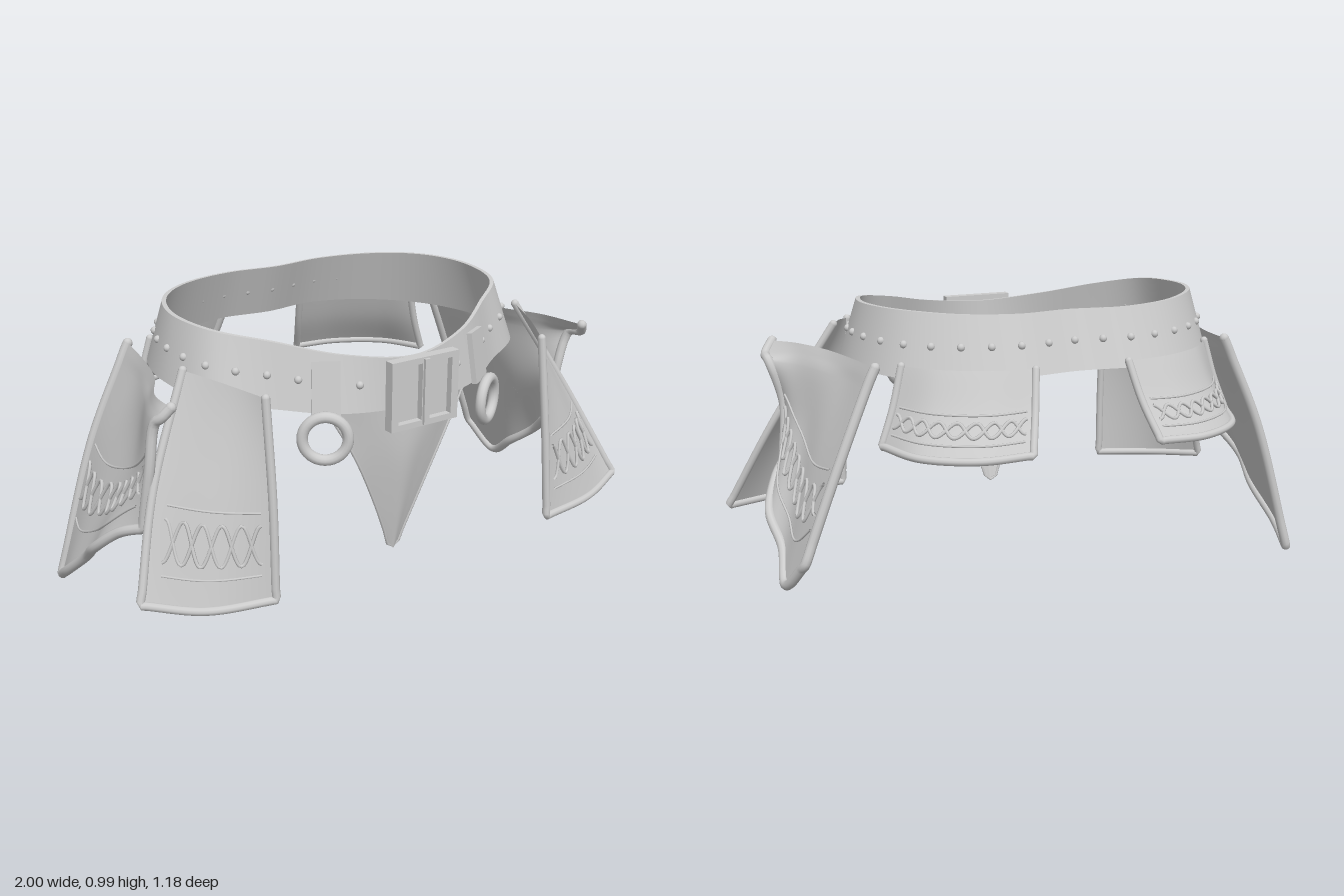
import * as THREE from 'three';
import { toCreasedNormals } from 'three/addons/utils/BufferGeometryUtils.js';

const CX = -0.04; // the belt's own centre line
const V = (p) => new THREE.Vector3(...p);
const spline = (pts, closed = false) => new THREE.CatmullRomCurve3(pts, closed);
const mirror = (rows) => rows.map((r) => r.map(([x, y, z]) => [2 * CX - x, y, z]));

// Smooth surface through rows of points; u runs along a row, v from first row to last
function surface(rows) {
  const curves = rows.map((r) => spline(r.map(V)));
  return (u, v) => spline(curves.map((c) => c.getPoint(u))).getPoint(v);
}

function gridGeometry(at, nu, nv) {
  const pos = [], idx = [];
  for (let j = 0; j <= nv; j++) {
    for (let i = 0; i <= nu; i++) {
      pos.push(...at(i / nu, j / nv).toArray());
      if (i < nu && j < nv) {
        const a = j * (nu + 1) + i, b = a + nu + 1;
        idx.push(a, b, a + 1, b, b + 1, a + 1);
      }
    }
  }
  const g = new THREE.BufferGeometry();
  g.setAttribute('position', new THREE.Float32BufferAttribute(pos, 3));
  g.setIndex(idx);
  g.computeVertexNormals();
  return g;
}

// Point lifted off the outer side of a surface
function lifted(at, u, v, d) {
  const p = at(u, v), e = 0.01;
  const n = at(u + e, v).sub(at(u - e, v)).cross(at(u, v + e).sub(at(u, v - e))).normalize();
  if (n.x * (p.x - CX) + n.z * p.z < 0) n.negate();
  return p.addScaledVector(n, d);
}

export function createModel() {
  const model = new THREE.Group();
  const grey = new THREE.MeshStandardMaterial({ color: 0xcccccc, side: THREE.DoubleSide });
  grey.name = 'grey';
  const add = (parent, name, geometry, pos) => {
    const m = new THREE.Mesh(geometry, grey);
    m.name = name;
    if (pos) m.position.set(...pos);
    parent.add(m);
    return m;
  };
  const tube = (parent, name, pts, r, sides = 8) =>
    add(parent, name, new THREE.TubeGeometry(spline(pts), pts.length * 2, r, sides));

  // Belt: front centre to back centre, [dx, y, z], mirrored into closed loops
  const bottom = [[0, .72, .52], [.26, .73, .482], [.44, .75, .375], [.61, .775, .27], [.66, .79, .08],
    [.635, .79, -.11], [.55, .79, -.27], [.39, .795, -.39], [.2, .8, -.44], [0, .8, -.42]];
  const top = [[0, .885, .515], [.24, .912, .45], [.42, .955, .335], [.56, .983, .22], [.605, .993, .04],
    [.575, .997, -.11], [.5, .997, -.225], [.37, .993, -.32], [.19, .99, -.365], [0, .99, -.345]];
  const middle = bottom.map((p, i) => p.map((c, k) => (c + top[i][k]) / 2));
  const loop = (half, f = 1) => {
    const back = half.slice(1, -1).reverse().map(([x, y, z]) => [-x, y, z]);
    return spline([...half, ...back].map(([x, y, z]) => new THREE.Vector3(CX + x * f, y, .05 + (z - .05) * f)), true);
  };
  const section = [loop(bottom), loop(top), loop(top, .975), loop(bottom, .975), loop(bottom)];
  const beltAt = (u, v) => section[Math.round(v * 4)].getPoint(u % 1);
  add(model, 'belt', toCreasedNormals(gridGeometry(beltAt, 140, 4), 0.7));

  // Rivets around the belt, leaving room for the buckle and strap loops
  const rivets = new THREE.Group();
  rivets.name = 'rivets';
  model.add(rivets);
  const rivet = new THREE.SphereGeometry(0.013, 10, 8);
  const count = 36;
  loop(middle).getSpacedPoints(count).slice(0, count).forEach((p, i) => {
    const k = Math.min(i, count - i);
    if (k !== 0 && k !== 1 && k !== 3) add(rivets, 'rivet', rivet, p.toArray());
  });

  // Buckle: frame with two windows and a centre prong
  const rect = (C, x, y, w, h) => new C([[x, y], [x + w, y], [x + w, y + h], [x, y + h]].map((p) => new THREE.Vector2(...p)));
  const frame = rect(THREE.Shape, -.175, .67, .26, .23);
  frame.holes.push(rect(THREE.Path, -.148, .69, .09, .19), rect(THREE.Path, -.032, .69, .09, .19));
  add(model, 'buckleFrame', new THREE.ExtrudeGeometry(frame, { depth: .035, bevelEnabled: false }), [0, 0, .545]);
  add(model, 'buckleBack', new THREE.BoxGeometry(.23, .2, .01), [-.045, .785, .552]);
  add(model, 'buckleProng', new THREE.BoxGeometry(.02, .22, .02), [-.045, .785, .58]);

  // Strap loops with hanging rings
  for (const s of [1, -1]) {
    const strap = add(model, 'strapLoop', new THREE.BoxGeometry(.09, .175, .018), [CX + s * .3, .815, .458]);
    strap.rotation.set(-.15, s * .5, 0, 'YXZ');
    const ring = add(model, 'ring', new THREE.TorusGeometry(.072, .018, 12, 36), [CX + s * .325, .665, .492]);
    ring.rotation.y = s * .56;
  }

  // Pointed centre flap, its tip leaning inward
  const point = surface([
    [[-.335, .75, .435], [-.2, .74, .49], [-.045, .73, .505], [.11, .74, .49], [.245, .75, .435]],
    [[-.23, .56, .455], [-.14, .55, .48], [-.05, .545, .497], [.04, .55, .48], [.13, .56, .455]],
    [[-.14, .365, .445], [-.095, .36, .457], [-.05, .355, .467], [-.005, .36, .457], [.04, .365, .445]],
    [[-.065, .18, .425], [-.057, .175, .428], [-.05, .17, .43], [-.043, .175, .428], [-.035, .18, .425]],
  ]);
  add(model, 'centreFlap', gridGeometry(point, 20, 20));
  const edges = [];
  for (let i = 0; i <= 10; i++) edges.push(point(0, i / 10));
  for (let i = 10; i >= 0; i--) edges.push(point(1, i / 10));
  tube(model, 'centreFlapEdge', edges, .005, 6);

  // Hanging flap: sheet, rolled rim on three edges, two border lines and a crossed chain
  function flap(name, rows, { rim, lines, lenses, chain, span }) {
    const g = new THREE.Group();
    g.name = name;
    model.add(g);
    const at = surface(rows);
    add(g, name + 'Sheet', gridGeometry(at, 30, 32));
    const path = [], n = 16;
    for (let i = 0; i < n; i++) path.push(at(0, i / n));
    for (let i = 0; i <= 2 * n; i++) path.push(at(i / n / 2, 1));
    for (let i = n - 1; i >= 0; i--) path.push(at(1, i / n));
    tube(g, name + 'Rim', path, rim, 10);
    const cap = new THREE.SphereGeometry(rim, 10, 8);
    for (const p of [path[0], path[path.length - 1]]) add(g, name + 'RimEnd', cap, p.toArray());

    // lines(t) gives the v of the upper and lower border
    const trace = (label, steps, r, v) => {
      const pts = [];
      for (let i = 0; i <= steps; i++) {
        const t = i / steps;
        pts.push(lifted(at, THREE.MathUtils.lerp(span[0], span[1], t), v(t), r));
      }
      tube(g, name + label, pts, r, 6);
    };
    trace('UpperLine', 16, .004, (t) => lines(t)[0]);
    trace('LowerLine', 16, .004, (t) => lines(t)[1]);
    for (const s of [1, -1]) {
      trace('Chain', lenses * 8, .006, (t) => {
        const [a, b] = lines(t);
        return (a + b) / 2 + s * (b - a) * chain * Math.cos(Math.PI * lenses * t);
      });
    }
  }

  // Front flaps
  const front = { rim: .014, lines: () => [.55, .86], lenses: 5, chain: .31, span: [.1, .86] };
  flap('leftFrontFlap', [
    [[.49, .85, .52], [.55, .87, .395], [.61, .885, .24]],
    [[.505, .52, .55], [.68, .53, .46], [.82, .54, .315]],
    [[.52, .195, .57], [.77, .19, .52], [.985, .2, .425]],
  ], front);
  flap('rightFrontFlap', mirror([
    [[.505, .85, .51], [.57, .87, .39], [.64, .885, .24]],
    [[.505, .52, .54], [.66, .53, .44], [.785, .54, .295]],
    [[.51, .195, .555], [.72, .19, .49], [.88, .2, .365]],
  ]), front);

  // Side flaps with a folded front corner and wavy hem; the right one hangs lower at the back
  const side = {
    rim: .017, lenses: 8, chain: .25, span: [.1, .93],
    lines: (t) => [.67 + .08 * t + .045 * Math.sin(t * Math.PI), .895 + .037 * Math.sin(t * Math.PI)],
  };
  const sideRows = (lip, fold, corner, hem) => [
    [lip, [.74, .825, .25], [.67, .825, .1], [.625, .825, -.08], [.6, .83, -.26]],
    [fold, [.745, .798, .23], [.68, .797, .085], [.637, .797, -.08], [.615, .8, -.261]],
    [corner, [.755, .755, .21], [.698, .755, .07], [.653, .755, -.08], [.633, .76, -.262]],
    [[.79, .6, .285], [.785, .56, .19], [.765, .53, .07], [.765, .5, -.1], [.745, .5, -.28]],
    [[.81, .4, .255], [.855, .365, .175], [.9, .28, .07], [.885, .19, -.05], ...hem],
  ];
  flap('leftSideFlap', sideRows([.8, .812, .392], [.833, .773, .355], [.832, .757, .297],
    [[.905, .105, -.18], [.86, .21, -.29]]), side);
  flap('rightSideFlap', mirror(sideRows([.73, .812, .335], [.755, .78, .32], [.768, .757, .295],
    [[.905, .08, -.19], [.89, .013, -.295]])), side);

  // Back flaps
  const back = { rim: .013, lines: () => [.48, .83], lenses: 8, chain: .25, span: [.06, .94] };
  const backRows = [
    [[.125, .825, -.45], [.27, .83, -.44], [.42, .83, -.365], [.515, .83, -.265]],
    [[.15, .7, -.505], [.31, .695, -.495], [.46, .695, -.41], [.55, .7, -.28]],
    [[.185, .58, -.575], [.36, .575, -.56], [.52, .575, -.46], [.595, .58, -.295]],
  ];
  flap('leftBackFlap', backRows, back);
  flap('rightBackFlap', mirror(backRows), back);

  return model;
}
